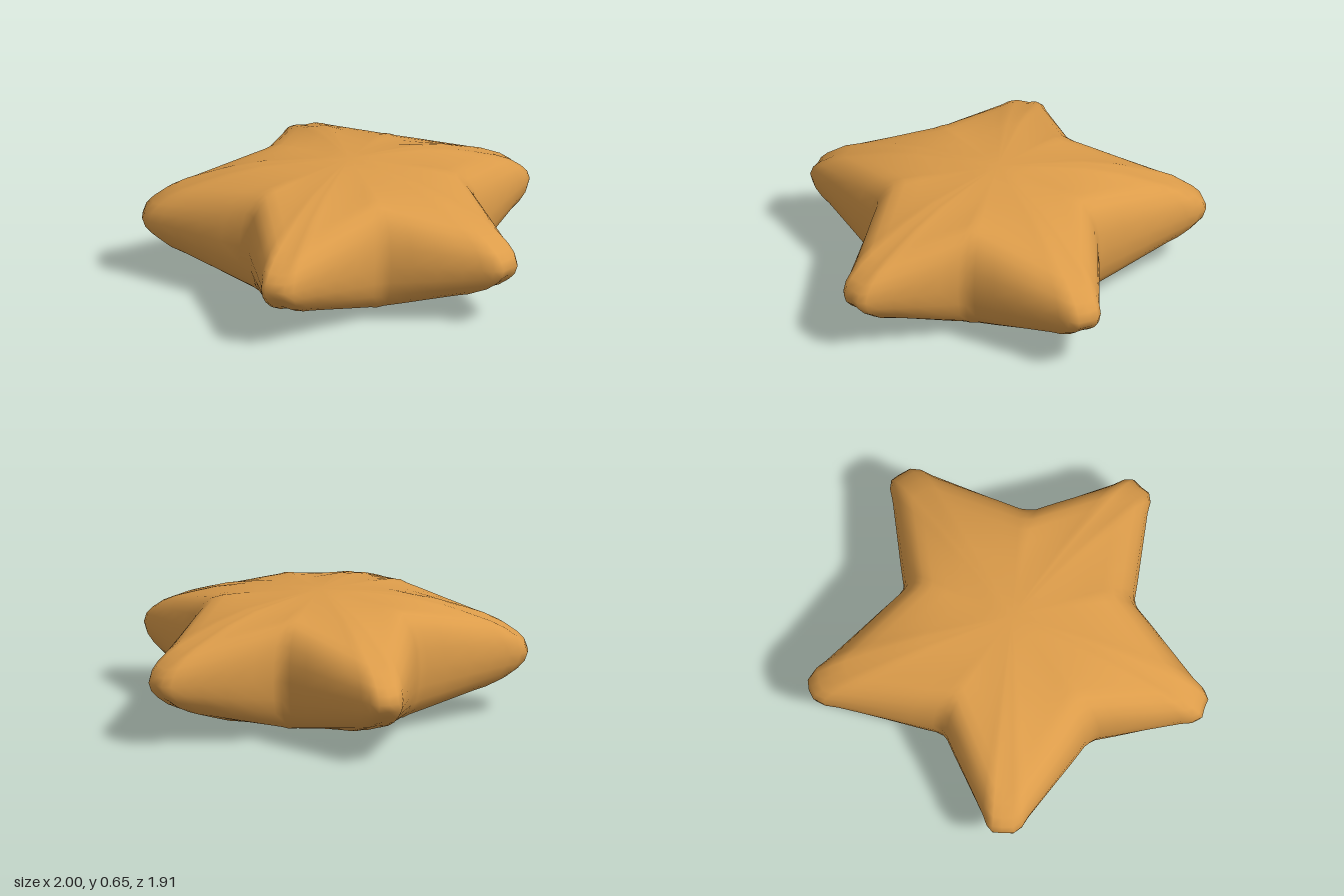
import * as THREE from 'three';

const CENTRE_Z = 0.09, MID_Y = 0.328;

// Tips and valleys (x, z), clockwise from the rear tip to the front valley
const half = [[0, -0.96], [0.37, -0.375], [0.985, -0.23], [0.605, 0.345], [0.61, 0.92], [0, 0.73]];
const anchors = [...half, ...half.slice(1, 5).reverse().map(([x, z]) => [-x, z])];

// Rounded edge from a tip to a valley: [share of tip, share of valley]
const edge = [[1, 0], [0.93, 0.14], [0.85, 0.235], [0.76, 0.305], [0.62, 0.43],
  [0.43, 0.6], [0.23, 0.78], [0.07, 0.92], [0, 1]];

// Rings: [scale, half height along an arm, half height towards a valley]
const rings = [[0.2, 0.31, 0.315], [0.43, 0.285, 0.302], [0.6, 0.24, 0.295], [0.73, 0.19, 0.285],
  [0.82, 0.155, 0.27], [0.89, 0.12, 0.235], [0.95, 0.075, 0.18], [0.985, 0.04, 0.1], [1, 0, 0]];

function starOutline() {
  const points = [];
  for (let i = 0; i < 10; i += 2) {
    const tip = anchors[i], next = anchors[i + 1], previous = anchors[(i + 9) % 10];
    const blend = (valley, [a, b]) => ({
      x: a * tip[0] + b * valley[0],
      z: a * (tip[1] - CENTRE_Z) + b * (valley[1] - CENTRE_Z),
      arm: a,
    });
    for (const e of edge.slice(1).reverse()) points.push(blend(previous, e));
    for (const e of edge.slice(0, -1)) points.push(blend(next, e));
  }
  return points;
}

function starGeometry() {
  const outline = starOutline(), n = outline.length;
  const positions = [], indices = [];

  // Adds a ring of the upper (side = 1) or lower (side = -1) shell
  const addRing = ([s, armHeight, valleyHeight], side) => {
    const start = positions.length / 3;
    for (const p of outline) {
      const h = THREE.MathUtils.lerp(valleyHeight, armHeight, p.arm);
      positions.push(p.x * s, MID_Y + side * h, CENTRE_Z + p.z * s);
    }
    return start;
  };
  const rim = addRing(rings[rings.length - 1], 1);

  for (const side of [1, -1]) {
    const face = (a, b, c) => indices.push(...(side > 0 ? [a, b, c] : [a, c, b]));
    const pole = positions.length / 3;
    positions.push(0, MID_Y + side * 0.325, CENTRE_Z);
    let inner = -1;
    rings.forEach((ring, r) => {
      const outer = r === rings.length - 1 ? rim : addRing(ring, side);
      for (let i = 0; i < n; i++) {
        const j = (i + 1) % n;
        if (r === 0) face(pole, outer + j, outer + i);
        else {
          face(inner + i, inner + j, outer + j);
          face(inner + i, outer + j, outer + i);
        }
      }
      inner = outer;
    });
  }

  const geometry = new THREE.BufferGeometry();
  geometry.setAttribute('position', new THREE.Float32BufferAttribute(positions, 3));
  geometry.setIndex(indices);
  geometry.computeVertexNormals();
  return geometry;
}

export function createModel() {
  const group = new THREE.Group();
  group.name = 'star';
  const gold = new THREE.MeshStandardMaterial({ color: 0xdc9c4a });
  gold.name = 'warm gold';
  const body = new THREE.Mesh(starGeometry(), gold);
  body.name = 'starBody';
  group.add(body);
  return group;
}
